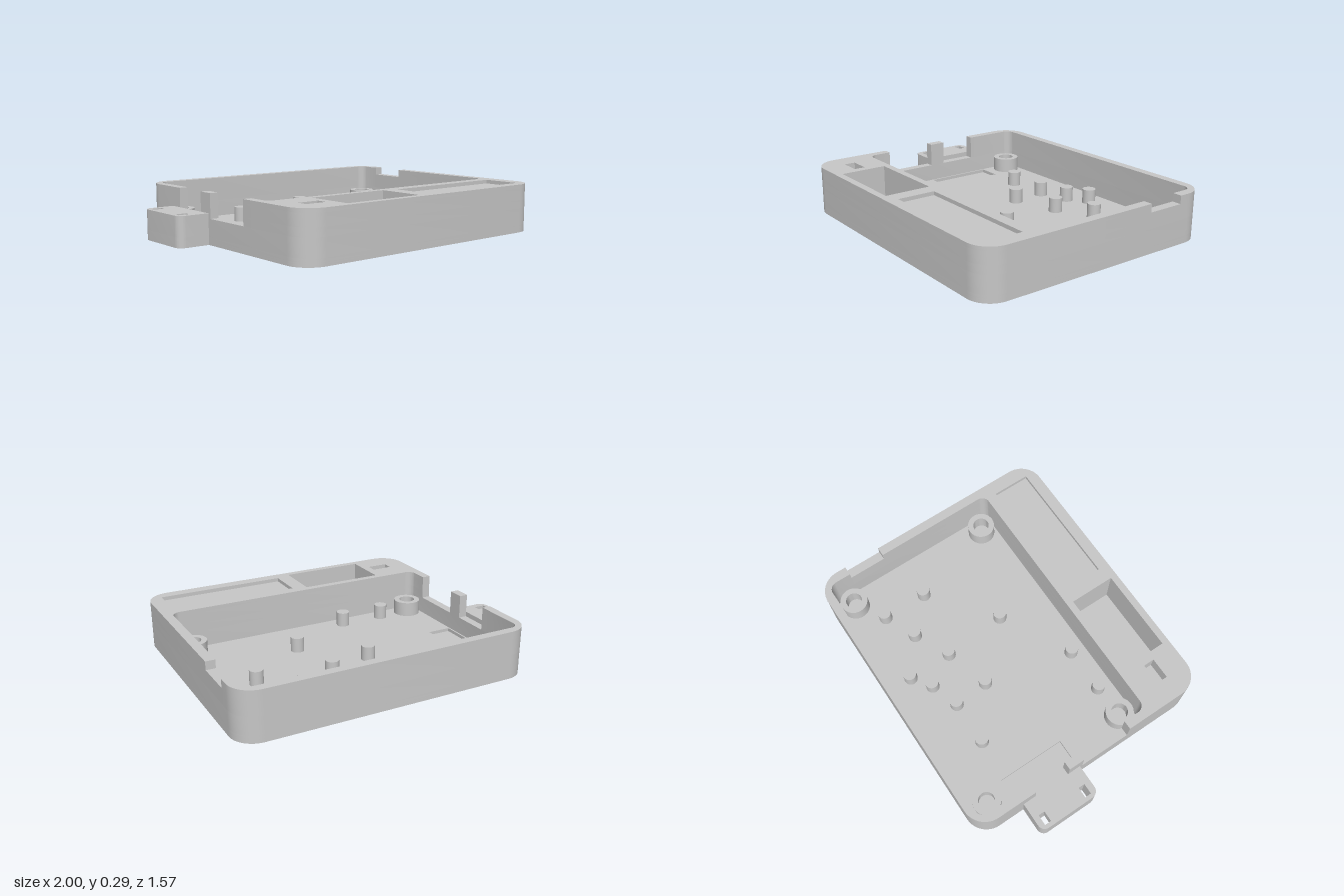
import * as THREE from 'three';
import { toCreasedNormals } from 'three/addons/utils/BufferGeometryUtils.js';

export function createModel() {
  const group = new THREE.Group();
  const grey = new THREE.MeshStandardMaterial({ color: 0xc7c7c7 });
  grey.name = 'casing grey';

  // Path through right-angled corners [x, z, radius]
  function trace(path, pts) {
    pts.forEach(([x, z, r = 0], i) => {
      const p = new THREE.Vector2(x, -z);
      const towards = (j, d) => {
        const q = pts[(j + pts.length) % pts.length];
        return new THREE.Vector2(q[0], -q[1]).sub(p).normalize().multiplyScalar(d).add(p);
      };
      const a = towards(i - 1, r), b = towards(i + 1, r);
      if (i === 0) path.moveTo(a.x, a.y); else path.lineTo(a.x, a.y);
      if (r > 0) {
        const c = towards(i - 1, r * 0.448), d = towards(i + 1, r * 0.448);
        path.bezierCurveTo(c.x, c.y, d.x, d.y, b.x, b.y);
      }
    });
    path.closePath();
    return path;
  }
  // Corners run counter-clockwise so that hole walls face into the hole
  const rect = (x0, x1, z0, z1, r = 0) => [[x0, z0, r], [x0, z1, r], [x1, z1, r], [x1, z0, r]];
  const hole = (pts) => trace(new THREE.Path(), pts);
  const circle = (x, z, r) => new THREE.Path().absarc(x, -z, r, 0, Math.PI * 2, true);

  // Flat slab from y0 to y1 with optional holes
  function slab(name, outline, y0, y1, holes = []) {
    const shape = trace(new THREE.Shape(), outline);
    shape.holes.push(...holes);
    let geo = new THREE.ExtrudeGeometry(shape, { depth: y1 - y0, bevelEnabled: false, curveSegments: 12 });
    geo.rotateX(-Math.PI / 2);
    geo.translate(0, y0, 0);
    geo = toCreasedNormals(geo, 0.6);
    add(name, geo);
  }
  function add(name, geo) {
    const mesh = new THREE.Mesh(geo, grey);
    mesh.name = name;
    group.add(mesh);
    return mesh;
  }

  const FLOOR = 0.045, SILL = 0.15, NOTCH = 0.245, TOP = 0.295;
  const body = rect(-0.81, 1, -0.783, 0.783, 0.14);
  const cavity = rect(-0.757, 0.943, -0.73, 0.413, 0.05);
  const pocket = rect(-0.497, 0.023, 0.455, 0.74);
  const slot = rect(-0.678, -0.548, 0.565, 0.633);
  const panel = rect(0.113, 0.913, 0.48, 0.713);
  const screwHoles = () => [circle(0.2, 0.59, 0.05), circle(0.62, 0.59, 0.05)];

  // Base with foot recesses, screw holes and a shallow floor recess
  const feet = [[0.71, -0.67], [-0.51, -0.665], [0.79, 0.585], [-0.59, 0.58]]
    .map(([x, z]) => hole(rect(x - 0.1, x + 0.1, z - 0.1, z + 0.1)));
  slab('footRecessLayer', body, 0, 0.015, [...feet, ...screwHoles()]);
  slab('basePlate', body, 0.015, 0.025, screwHoles());
  slab('floor', body, 0.025, FLOOR, [hole(rect(-0.747, -0.6, -0.492, -0.065)), ...screwHoles()]);

  // Closed lower wall
  slab('lowerWall', body, FLOOR, SILL, [hole(cavity), hole(pocket), ...screwHoles()]);

  // Upper wall: front block with its pockets, and the back strip
  const front = [
    [-0.81, 0.265], [-0.81, 0.783, 0.14], [1, 0.783, 0.14], [1, -0.345],
    [0.943, -0.345], [0.943, 0.413, 0.05], [-0.757, 0.413, 0.05], [-0.757, 0.265],
  ];
  const back = [
    [-0.81, -0.392], [-0.757, -0.392], [-0.757, -0.73, 0.05], [0.943, -0.73, 0.05],
    [0.943, -0.58], [1, -0.58], [1, -0.783, 0.14], [-0.81, -0.783, 0.14],
  ];
  slab('frontBlock', front, SILL, 0.2, [hole(pocket), ...screwHoles()]);
  slab('frontBlockSlotted', front, 0.2, 0.272, [hole(pocket), hole(slot)]);
  slab('frontBlockTop', front, 0.272, TOP, [hole(pocket), hole(slot), hole(panel)]);
  slab('backWall', back, SILL, TOP);
  slab('notchSill', rect(0.943, 1, -0.58, -0.345), SILL, NOTCH);
  slab('sideWallPost', rect(-0.81, -0.757, -0.16, -0.06), SILL, TOP);

  // Strap tab: through slots joined by a groove underneath
  const tab = [[-0.81, -0.475], [-1, -0.475, 0.045], [-1, -0.08, 0.045], [-0.81, -0.08]];
  slab('tabGrooveLayer', tab, 0, 0.06, [hole(rect(-0.975, -0.91, -0.44, -0.12))]);
  slab('tab', tab, 0.06, 0.18, [
    hole(rect(-0.975, -0.91, -0.44, -0.4)),
    hole(rect(-0.975, -0.91, -0.16, -0.12)),
  ]);

  // Corner bosses
  const profile = [[0.05, FLOOR], [0.085, FLOOR], [0.085, 0.137], [0.05, 0.137], [0.05, FLOOR]]
    .map(([x, y]) => new THREE.Vector2(x, y));
  const bossGeo = toCreasedNormals(new THREE.LatheGeometry(profile, 32), 0.6);
  for (const x of [-0.667, 0.852]) for (const z of [-0.637, 0.32]) {
    add('cornerBoss', bossGeo).position.set(x, 0, z);
  }

  // Support pins
  const pinGeo = new THREE.CylinderGeometry(0.041, 0.041, 0.09, 24);
  const pins = [
    [-0.34, -0.457], [-0.06, -0.457], [0.122, -0.517], [0.242, -0.602], [0.242, -0.322], [0.467, -0.432],
    [0.675, -0.522], [0.675, -0.237], [-0.043, -0.237], [0.272, 0.08], [-0.457, 0.32], [-0.173, 0.32],
  ];
  for (const [x, z] of pins) add('supportPin', pinGeo).position.set(x, FLOOR + 0.045, z);

  return group;
}
